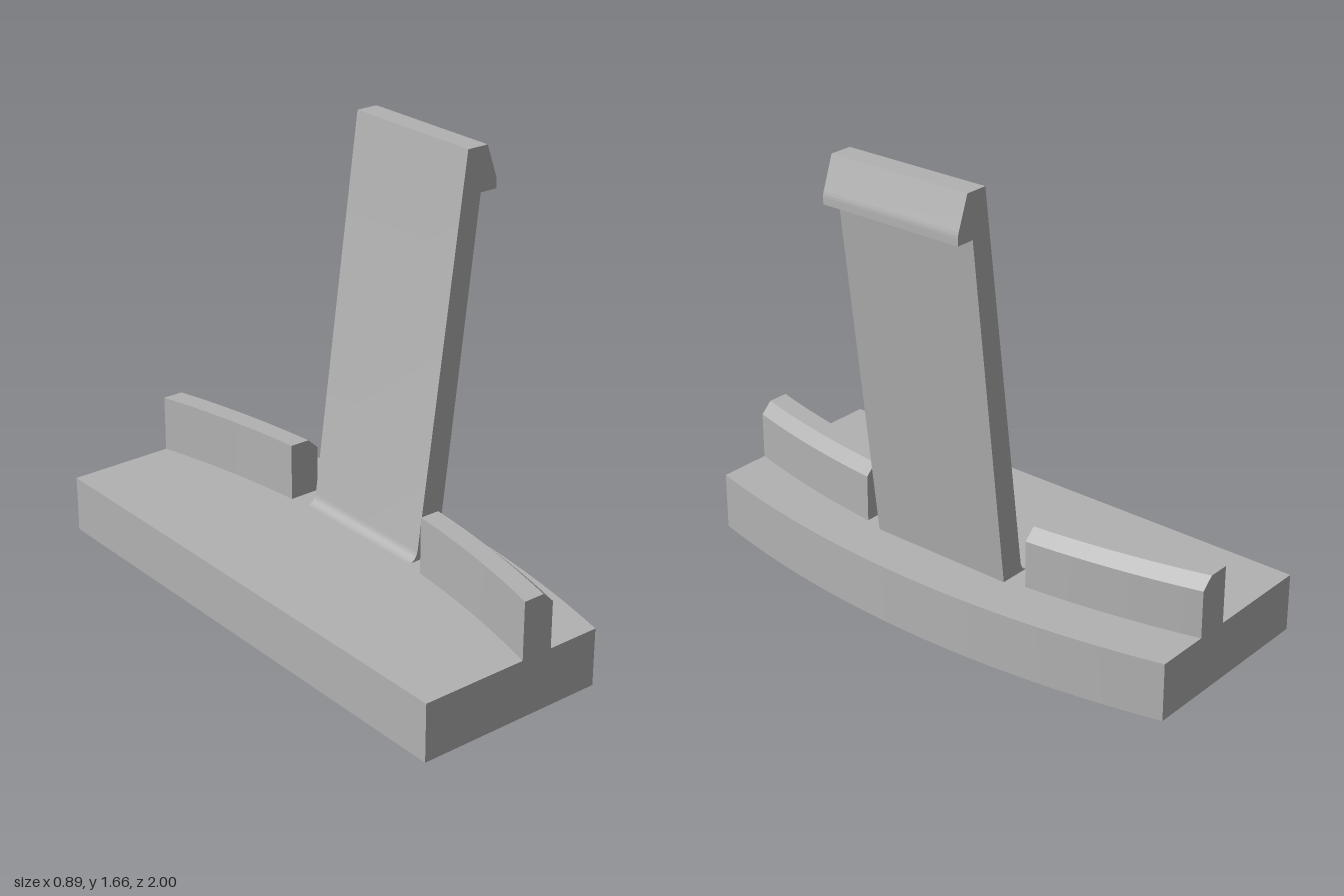
import * as THREE from 'three';
import { toCreasedNormals } from 'three/addons/utils/BufferGeometryUtils.js';

const BASE_TOP = 0.215;
const ARC_X = -3.655; // shared centre of the curved edge and the ribs
const EDGE_R = 4.06;

const extrude = (shape, depth, steps = 1) =>
  new THREE.ExtrudeGeometry(shape, { depth, steps, bevelEnabled: false, curveSegments: 12 });

const polygon = (points) => new THREE.Shape(points.map(([x, y]) => new THREE.Vector2(x, y)));

// Flat plate with a bowed edge on +x
function baseGeometry() {
  const points = [[-0.45, 1], [-0.45, -1]];
  for (let i = 0; i <= 32; i++) {
    const z = -1 + i / 16;
    points.push([ARC_X + Math.sqrt(EDGE_R ** 2 - z * z), z]);
  }
  return extrude(polygon(points), BASE_TOP).rotateX(-Math.PI / 2);
}

// Chamfered rib: profile x is a radius, bent around the shared centre
function ribGeometry(zStart) {
  const profile = polygon([
    [3.746, BASE_TOP - 0.01], [3.865, BASE_TOP - 0.01], [3.865, 0.39], [3.823, 0.43], [3.746, 0.43],
  ]);
  const geometry = extrude(profile, 0.64, 14).translate(0, 0, zStart);
  const p = geometry.attributes.position;
  for (let i = 0; i < p.count; i++) {
    p.setX(i, ARC_X + Math.sqrt(p.getX(i) ** 2 - p.getZ(i) ** 2));
  }
  return geometry;
}

// Leaning arm with a hooked lip and a fillet at its foot
function armGeometry() {
  const s = new THREE.Shape();
  s.moveTo(0.088, BASE_TOP - 0.005);
  s.lineTo(0.215, BASE_TOP - 0.005);
  s.lineTo(0.375, 1.505);
  s.lineTo(0.445, 1.505);
  s.lineTo(0.445, 1.53);
  s.quadraticCurveTo(0.445, 1.54, 0.44, 1.553);
  s.lineTo(0.4, 1.665);
  s.lineTo(0.315, 1.665);
  s.lineTo(0.127, 0.257);
  s.quadraticCurveTo(0.121, BASE_TOP, 0.088, BASE_TOP);
  return extrude(s, 0.57).translate(0, 0, -0.285);
}

export function createModel() {
  const group = new THREE.Group();
  const grey = new THREE.MeshStandardMaterial({ color: 0xb2b2b2 });
  grey.name = 'light grey';

  const add = (name, geometry) => {
    const mesh = new THREE.Mesh(toCreasedNormals(geometry, 0.5), grey);
    mesh.name = name;
    group.add(mesh);
  };

  add('base', baseGeometry());
  add('frontRib', ribGeometry(0.36));
  add('backRib', ribGeometry(-1));
  add('clipArm', armGeometry());
  return group;
}
